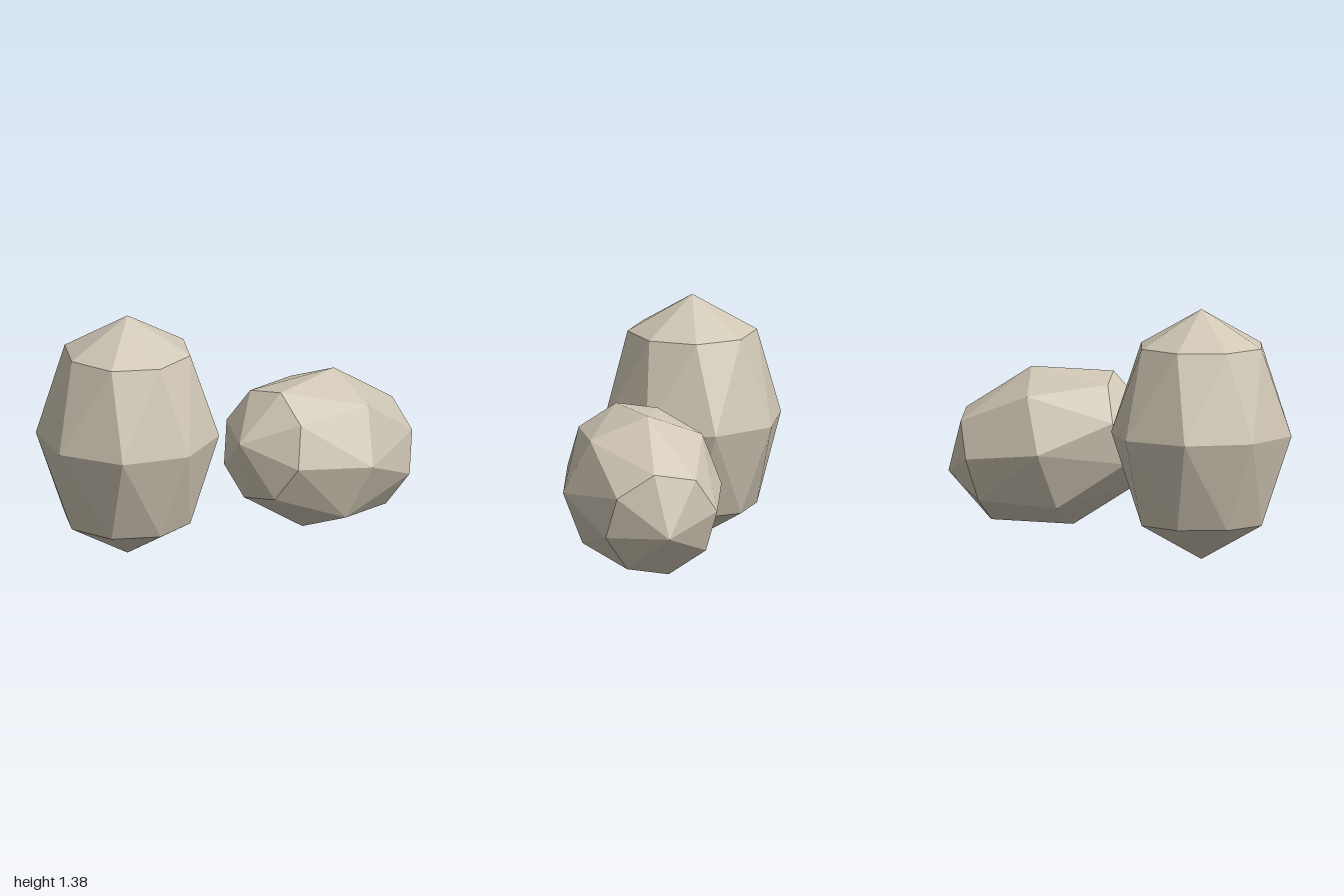
import * as THREE from 'three';
import { ConvexGeometry } from 'three/addons/geometries/ConvexGeometry.js';

const SIDES = 8;
const TWIST = Math.PI / 16; // the end rings are turned a quarter facet from the middle ring

// Faceted egg-shaped boulder: two poles and three rings, long axis on y
function boulderGeometry(radius, halfLength) {
  const points = [
    new THREE.Vector3(0, halfLength, 0),
    new THREE.Vector3(0, -halfLength, 0),
  ];
  for (const ring of [-1, 0, 1]) {
    const latitude = ring * Math.PI / 4;
    const r = radius * Math.cos(latitude);
    for (let i = 0; i < SIDES; i++) {
      const a = i / SIDES * Math.PI * 2 + Math.abs(ring) * TWIST;
      points.push(new THREE.Vector3(
        r * Math.cos(a), halfLength * Math.sin(latitude), r * Math.sin(a)));
    }
  }
  return new ConvexGeometry(points); // flat normals per face
}

export function createModel() {
  const group = new THREE.Group();
  const stone = new THREE.MeshStandardMaterial({ color: 0xcfc6b4 });
  stone.name = 'paleStone';

  // Tall upright boulder
  const upright = new THREE.Mesh(boulderGeometry(0.5, 0.6875), stone);
  upright.name = 'uprightBoulder';
  upright.position.set(-0.5, 0.6875, -0.238);

  // Smaller boulder tipped onto its side
  const tipped = new THREE.Mesh(boulderGeometry(0.447, 0.597), stone);
  tipped.name = 'tippedBoulder';
  tipped.position.set(0.424, 0.531, 0.288);
  tipped.rotation.z = THREE.MathUtils.degToRad(75);

  group.add(upright, tipped);
  return group;
}
